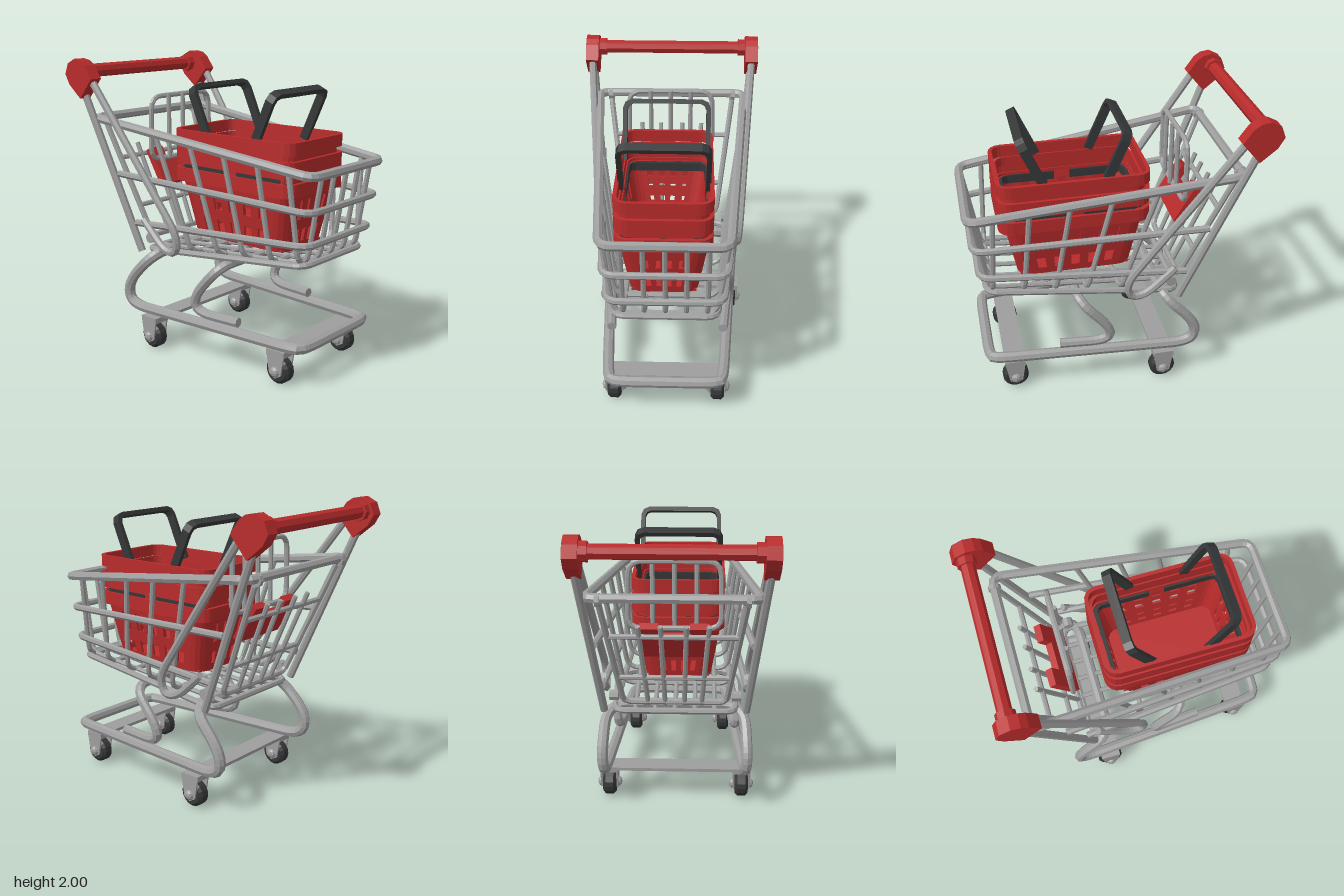
import * as THREE from 'three';
import { mergeGeometries } from 'three/addons/utils/BufferGeometryUtils.js';

const V = (x, y, z) => new THREE.Vector3(x, y, z);
const mat = (name, color) => {
  const m = new THREE.MeshStandardMaterial({ color, flatShading: true });
  m.name = name;
  return m;
};

export function createModel() {
  const model = new THREE.Group();
  const steel = mat('steel grey', 0x9e9e9e);
  const red = mat('red plastic', 0xb82b2b);
  const dark = mat('dark rubber', 0x353637);

  function add(name, geo, material, parent = model) {
    const mesh = new THREE.Mesh(geo, material);
    mesh.name = name;
    parent.add(mesh);
    return mesh;
  }

  // Polyline with rounded corners, swept as a tube with closed ends
  function tube(name, pts, r, bend = 0.1, closed = false, sides = 7) {
    const path = new THREE.CurvePath();
    const n = pts.length;
    const cut = (a, b) => a.clone().lerp(b, Math.min(bend / a.distanceTo(b), 0.48));
    const first = closed ? cut(pts[0], pts[1]) : pts[0];
    let last = first;
    for (let i = 1; i < (closed ? n + 1 : n - 1); i++) {
      const p = pts[i % n], before = cut(p, pts[i - 1]), after = cut(p, pts[(i + 1) % n]);
      path.add(new THREE.LineCurve3(last, before));
      path.add(new THREE.QuadraticBezierCurve3(before, p, after));
      last = after;
    }
    if (!closed) path.add(new THREE.LineCurve3(last, pts[n - 1]));
    const steps = n === 2 ? 1 : Math.ceil(path.getLength() / 0.035);
    const parts = [new THREE.TubeGeometry(path, steps, r, sides, closed)];
    if (!closed) {
      for (const [end, next] of [[pts[0], pts[1]], [pts[n - 1], pts[n - 2]]]) {
        const q = new THREE.Quaternion().setFromUnitVectors(V(0, 0, 1), end.clone().sub(next).normalize());
        parts.push(new THREE.CircleGeometry(r, sides).applyQuaternion(q).translate(end.x, end.y, end.z));
      }
    }
    return add(name, mergeGeometries(parts), steel);
  }
  // Left-half points (from the end to the middle) continued on the right
  const mirrored = half => [...half, ...half.slice().reverse().map(p => V(-p.x, p.y, p.z))];

  // Cart basket: rim, rings and bottom
  const rimX = z => 0.39 + (0.97 - z) * 0.077;
  const rimY = z => 1.38 + (0.97 - z) * 0.122;
  const floorY = z => 0.69 + (z + 0.43) * 0.085;
  const floorX = z => 0.325 + (0.88 - z) * 0.055;
  tube('basketRim', mirrored([V(0.53, 1.595, -0.79), V(0.39, 1.38, 0.96)]), 0.031, 0.07, true);
  tube('middleRing', mirrored([V(0.505, 1.22, -0.59), V(0.38, 1.155, 0.94)]), 0.024, 0.08);
  tube('lowerRing', mirrored([V(0.475, 0.885, -0.46), V(0.365, 0.94, 0.91)]), 0.024, 0.08);
  tube('floorRing', mirrored([V(0.41, 0.69, -0.42), V(0.33, 0.8, 0.87)]), 0.022, 0.08, true);

  // Wires running down one side, under the floor and up the other
  [[0.8, 0.83], [0.57, 0.62], [0.31, 0.41], [0.04, 0.2], [-0.25, -0.03]].forEach(([zt, zb]) =>
    tube('sideWire', mirrored([V(rimX(zt), rimY(zt), zt), V(floorX(zb), floorY(zb), zb)]), 0.018, 0.09));
  // Wires running down the front and back along the floor
  for (let i = -2; i <= 2; i++) {
    const x = i * 0.133;
    tube('frontWire', [V(x, 1.39, 0.95), V(x, 0.8, 0.85), V(x, 0.69, -0.42)], 0.017, 0.07);
  }

  // Rear gate
  const gateZ = y => -0.79 + (1.59 - y) * 0.42;
  const gate = (x, y) => V(x, y, gateZ(y));
  tube('gateFrame', mirrored([gate(0.45, 1.59), gate(0.34, 0.77)]), 0.02, 0.05, true);
  tube('gateCrossbar', [gate(-0.41, 1.31), gate(0.41, 1.31)], 0.018);
  tube('gateCrossbar', [gate(-0.37, 0.98), gate(0.37, 0.98)], 0.018);
  for (const x of [-0.22, -0.08, 0.08, 0.22])
    tube('gateWire', [gate(x, 1.39), gate(x * 0.8, 0.75)], 0.017);
  for (const x of [-0.45, 0.45])
    add('gateHinge', new THREE.CylinderGeometry(0.042, 0.042, 0.03, 8).rotateZ(Math.PI / 2)
      .translate(x, 1.585, -0.79), steel);

  // Child seat back and its red flap
  tube('seatBackFrame', mirrored([V(0.3, 1.3, -0.48), V(0.29, 1.74, -0.48)]), 0.018, 0.09, true);
  for (const x of [-0.14, 0, 0.14]) tube('seatBackWire', [V(x, 1.3, -0.46), V(x, 1.75, -0.46)], 0.016);
  const flap = new THREE.Shape([[-0.22, -0.14], [0.22, -0.14], [0.22, 0.14], [0.1, 0.14], [0.1, 0.05],
    [-0.1, 0.05], [-0.1, 0.14], [-0.22, 0.14]].map(p => new THREE.Vector2(...p)));
  add('seatFlap', new THREE.ExtrudeGeometry(flap, { depth: 0.05, bevelEnabled: false })
    .rotateX(-0.54).translate(0, 1.22, -0.545), red);

  // Push handle with its end caps
  const capShape = new THREE.Shape([[-0.72, 1.87], [-0.785, 1.96], [-0.83, 1.99], [-0.89, 2], [-0.96, 1.965],
    [-0.99, 1.89], [-0.95, 1.82], [-0.84, 1.73]].map(p => new THREE.Vector2(...p)));
  add('handleBar', new THREE.CylinderGeometry(0.047, 0.047, 1.06, 8).rotateZ(Math.PI / 2)
    .translate(0, 1.91, -0.9), red);
  for (const s of [-1, 1]) {
    add('handleEndCap', new THREE.ExtrudeGeometry(capShape, { depth: 0.09, bevelEnabled: false })
      .rotateY(-Math.PI / 2).translate(s * 0.575 + 0.045, 0, 0), red);
    add('handleCollar', new THREE.CylinderGeometry(0.063, 0.063, 0.06, 8).rotateZ(Math.PI / 2)
      .translate(s * 0.51, 1.91, -0.9), red);
    // Rear upright and looping diagonal strut
    tube('rearUpright', [V(s * 0.575, 1.8, -0.86), V(s * 0.475, 0.69, -0.41)], 0.027);
    tube('diagonalStrut', [V(s * 0.575, 1.86, -0.77), V(s * 0.5, 0.87, -0.05), V(s * 0.49, 0.735, -0.06),
      V(s * 0.485, 0.735, -0.18), V(s * 0.48, 0.92, -0.38)], 0.027, 0.1);
    add('gatePivot', new THREE.CylinderGeometry(0.038, 0.038, 0.06, 8).rotateZ(Math.PI / 2)
      .translate(s * 0.41, 0.78, -0.37), steel);
  }

  // Chassis: tapered floor loop rising into a rear arch, plus an inner arch
  tube('chassisLoop', mirrored([V(0.34, 0.27, 0.89), V(0.38, 0.27, 0.85), V(0.475, 0.27, -0.535),
    V(0.485, 0.44, -0.55), V(0.465, 0.69, -0.3)]), 0.038, 0.16, true, 8);
  tube('innerArch', mirrored([V(0.39, 0.335, 0.4), V(0.42, 0.335, 0.065), V(0.44, 0.45, 0.045),
    V(0.43, 0.7, 0.27)]), 0.034, 0.14, false, 8);

  // Axle plates and casters
  for (const [z, x] of [[0.72, 0.35], [-0.315, 0.46]]) {
    add('axlePlate', new THREE.BoxGeometry(2 * x + 0.12, 0.022, 0.14).translate(0, 0.222, z), steel);
    for (const s of [-1, 1]) {
      const caster = new THREE.Group();
      caster.name = 'caster';
      caster.position.set(s * x, 0, z);
      model.add(caster);
      const r = 0.09, w = 0.045;
      const tread = [[0.001, -w], [0.07, -w], [r, -w * 0.6], [r, w * 0.6], [0.07, w], [0.001, w]];
      add('wheel', new THREE.LatheGeometry(tread.map(p => new THREE.Vector2(...p)), 16)
        .rotateZ(Math.PI / 2).translate(0, r, 0), dark, caster);
      const fork = new THREE.Shape([[-0.07, 0.22], [-0.045, 0.07], [0, 0.045], [0.045, 0.07], [0.07, 0.22]]
        .map(p => new THREE.Vector2(...p)));
      for (const t of [-1, 1]) {
        add('forkPlate', new THREE.ExtrudeGeometry(fork, { depth: 0.012, bevelEnabled: false })
          .rotateY(-Math.PI / 2).translate(t * 0.054 + 0.006, 0, 0), steel, caster);
        add('axleCap', new THREE.SphereGeometry(0.036, 8, 6).scale(0.7, 1, 1)
          .translate(t * 0.06, r, 0), steel, caster);
      }
      add('forkTop', new THREE.BoxGeometry(0.12, 0.02, 0.14).translate(0, 0.205, 0), steel, caster);
    }
  }

  // Rounded-rectangle outline; "open" marks segments that become slots
  function outline(hx, hz, r) {
    const pts = [];
    const side = (a, b, slots) => {
      const n = slots * 2 + 1;
      for (let i = 0; i < n; i++)
        pts.push({ x: a[0] + (b[0] - a[0]) * i / n, z: a[1] + (b[1] - a[1]) * i / n, open: i % 2 === 1 });
    };
    const corner = (cx, cz, start) => {
      for (let i = 0; i < 4; i++) {
        const t = start + i * Math.PI / 8;
        pts.push({ x: cx + r * Math.cos(t), z: cz + r * Math.sin(t), open: false });
      }
    };
    const ix = hx - r, iz = hz - r;
    side([hx, -iz], [hx, iz], 5); corner(ix, iz, 0);
    side([ix, hz], [-ix, hz], 4); corner(-ix, iz, Math.PI / 2);
    side([-hx, iz], [-hx, -iz], 5); corner(-ix, -iz, Math.PI);
    side([-ix, -hz], [ix, -hz], 4); corner(ix, -iz, Math.PI * 1.5);
    return pts;
  }

  // One band of basket wall made of six-sided blocks
  function wallBand(y0, hx0, hz0, y1, hx1, hz1, thick, slotted) {
    const r = 0.09, pos = [];
    const rings = [[hx0, hz0, y0], [hx1, hz1, y1]].map(([hx, hz, y]) =>
      [0, thick].map(t => outline(hx - t, hz - t, r - t).map(p => ({ ...p, y }))));
    const quad = (a, b, c, d) => [a, b, c, a, c, d].forEach(p => pos.push(p.x, p.y, p.z));
    const [[ob, ib], [ot, it]] = rings;
    for (let i = 0; i < ob.length; i++) {
      const j = (i + 1) % ob.length;
      if (slotted && ob[i].open) continue;
      quad(ob[i], ot[i], ot[j], ob[j]);
      quad(ib[j], it[j], it[i], ib[i]);
      quad(ot[i], it[i], it[j], ot[j]);
      quad(ob[j], ib[j], ib[i], ob[i]);
      if (slotted) {
        quad(ob[i], ib[i], it[i], ot[i]);
        quad(ob[j], ot[j], it[j], ib[j]);
      }
    }
    const g = new THREE.BufferGeometry();
    g.setAttribute('position', new THREE.Float32BufferAttribute(pos, 3));
    g.computeVertexNormals();
    return g;
  }

  // Two nested hand baskets
  const bodyX = y => 0.225 + y * 0.16, bodyZ = y => 0.39 + y * 0.19;
  for (const base of [0.82, 0.94]) {
    const basket = new THREE.Group();
    basket.name = 'handBasket';
    basket.position.set(-0.015, base, 0.25);
    model.add(basket);
    const body = [[0, 0.05], [0.05, 0.14, true], [0.14, 0.21], [0.21, 0.34, true], [0.34, 0.39]];
    const bands = body.map(([a, b, slotted]) =>
      wallBand(a, bodyX(a), bodyZ(a), b, bodyX(b), bodyZ(b), 0.014, slotted));
    bands.push(wallBand(0.38, 0.31, 0.507, 0.47, 0.31, 0.507, 0.028));
    bands.push(wallBand(0.47, 0.288, 0.478, 0.53, 0.288, 0.478, 0.014));
    bands.push(wallBand(0.53, 0.31, 0.507, 0.61, 0.31, 0.507, 0.026));
    add('basketWall', mergeGeometries(bands), red, basket);
    add('basketFloor', new THREE.BoxGeometry(0.42, 0.014, 0.75).translate(0, 0.007, 0), red, basket);
  }

  // Dark carrying handles: the upper pair leans apart, the lower pair lies folded
  const arch = (w, h, c) => [[w, 0], [w, h - c], [w - c * 0.3, h - c * 0.3], [w - c, h]];
  const flip = list => list.slice().reverse().map(([x, y]) => [-x, y]);
  const outer = arch(0.29, 0.4, 0.06), inner = arch(0.26, 0.37, 0.04);
  const handleShape = new THREE.Shape([...outer, ...flip(outer), ...flip(inner).reverse(), ...inner.slice().reverse()]
    .map(p => new THREE.Vector2(...p)));
  for (const [y, z, tilt] of [[1.48, 0.43, 0.42], [1.48, 0.06, -0.42],
    [1.3, 0.305, Math.PI / 2], [1.3, 0.195, -Math.PI / 2]])
    add('carryHandle', new THREE.ExtrudeGeometry(handleShape, { depth: 0.06, bevelEnabled: false })
      .translate(0, 0, -0.03).rotateX(tilt).translate(-0.015, y, z), dark);

  return model;
}
